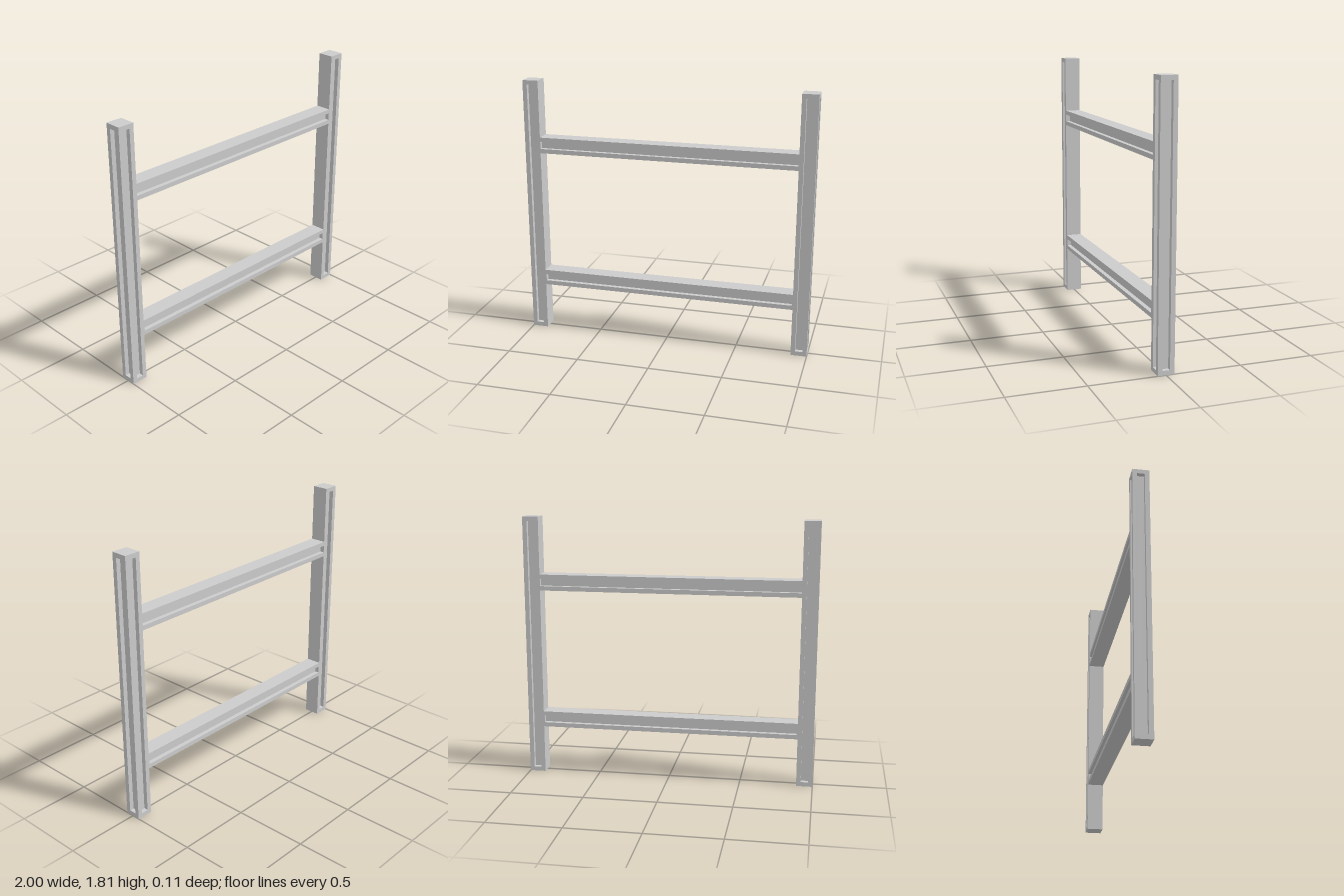
import * as THREE from 'three';
import { mergeGeometries } from 'three/addons/utils/BufferGeometryUtils.js';

const T = 0.11;       // bar thickness
const SLOT = 0.05;    // slot width
const DEPTH = 0.03;   // slot depth
const POST_H = 1.81;
const RAIL_L = 2 - 2 * T;

const material = new THREE.MeshStandardMaterial({ color: 0xcccccc, flatShading: true });

// Rectangle facing +z with a recessed slot of size sw x sh
function slottedFace(w, h, sw, sh) {
  const shape = new THREE.Shape([
    new THREE.Vector2(-w / 2, -h / 2), new THREE.Vector2(w / 2, -h / 2),
    new THREE.Vector2(w / 2, h / 2), new THREE.Vector2(-w / 2, h / 2),
  ]);
  shape.holes.push(new THREE.Path([
    new THREE.Vector2(-sw / 2, -sh / 2), new THREE.Vector2(-sw / 2, sh / 2),
    new THREE.Vector2(sw / 2, sh / 2), new THREE.Vector2(sw / 2, -sh / 2),
  ]));
  const parts = [
    new THREE.ShapeGeometry(shape),
    new THREE.PlaneGeometry(sw, sh).translate(0, 0, -DEPTH),
  ];
  // Slot walls, facing inwards
  for (const s of [-1, 1]) {
    parts.push(new THREE.PlaneGeometry(DEPTH, sh)
      .rotateY(-s * Math.PI / 2).translate(s * sw / 2, 0, -DEPTH / 2));
    parts.push(new THREE.PlaneGeometry(sw, DEPTH)
      .rotateX(s * Math.PI / 2).translate(0, s * sh / 2, -DEPTH / 2));
  }
  return mergeGeometries(parts);
}

// Bar centred on the origin; front and back are slotted, left (+x) optionally
function slottedBar(name, w, h, sw, sh, sideSlot) {
  const front = slottedFace(w, h, sw, sh).translate(0, 0, T / 2);
  const left = sideSlot ? slottedFace(T, h, sw, sh) : new THREE.PlaneGeometry(T, h);
  const geometry = mergeGeometries([
    front,
    front.clone().rotateY(Math.PI),
    left.rotateY(Math.PI / 2).translate(w / 2, 0, 0),
    new THREE.PlaneGeometry(T, h).rotateY(-Math.PI / 2).translate(-w / 2, 0, 0),
    new THREE.PlaneGeometry(w, T).rotateX(-Math.PI / 2).translate(0, h / 2, 0),
    new THREE.PlaneGeometry(w, T).rotateX(Math.PI / 2).translate(0, -h / 2, 0),
  ]);
  const mesh = new THREE.Mesh(geometry, material);
  mesh.name = name;
  return mesh;
}

export function createModel() {
  const model = new THREE.Group();
  model.name = 'slottedFrame';

  // Upright posts, slotted on the front, back and outer sides
  for (const [name, side] of [['leftPost', 1], ['rightPost', -1]]) {
    const post = slottedBar(name, T, POST_H, SLOT, POST_H - 0.06, true);
    post.position.set(side * (1 - T / 2), POST_H / 2, 0);
    if (side < 0) post.rotation.y = Math.PI;
    model.add(post);
  }

  // Cross rails, slotted on the front and back
  for (const [name, y, inset] of [['lowerRail', 0.39, 0.006], ['upperRail', 1.363, 0.001]]) {
    const rail = slottedBar(name, RAIL_L, T, RAIL_L - 2 * inset, SLOT, false);
    rail.position.y = y;
    model.add(rail);
  }
  return model;
}
